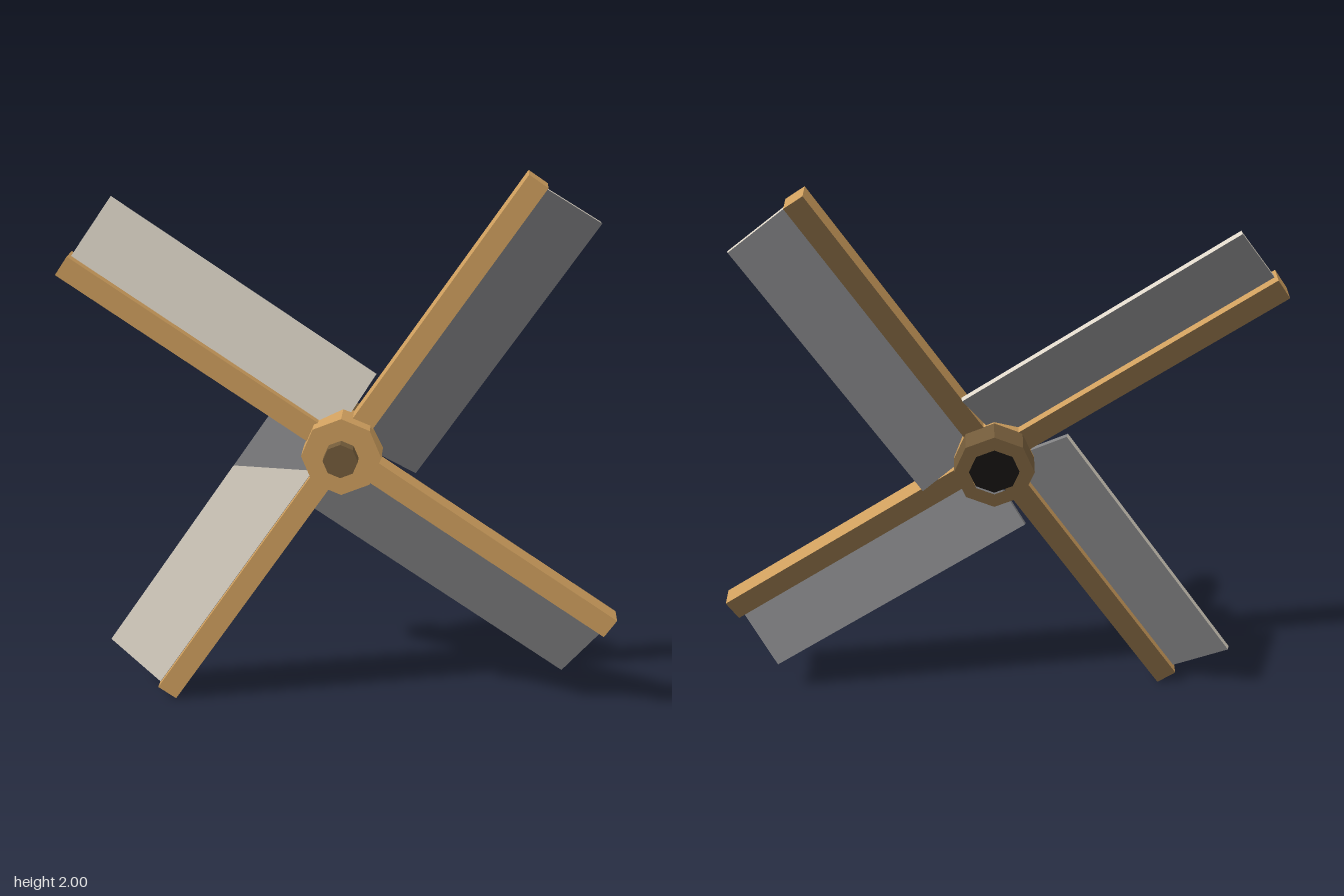
import * as THREE from 'three';

export function createModel() {
  const mat = (name, color, side = THREE.FrontSide) => {
    const m = new THREE.MeshStandardMaterial({ color, side, flatShading: true });
    m.name = name;
    return m;
  };
  const wood = mat('lightWood', 0xcf9f5e);
  const darkWood = mat('darkWood', 0x735b3a);
  const cream = mat('creamCloth', 0xdcd4c6);
  const grey = mat('greyCloth', 0x808082);
  const black = mat('axleHole', 0x141210);

  const add = (parent, name, geo, material, x = 0, y = 0, z = 0) => {
    const m = new THREE.Mesh(geo, material);
    m.name = name;
    m.position.set(x, y, z);
    parent.add(m);
    return m;
  };

  const model = new THREE.Group();
  model.name = 'windmillRotor';
  const rotor = new THREE.Group();
  rotor.name = 'rotor';
  rotor.position.y = 1;
  rotor.rotation.y = THREE.MathUtils.degToRad(-22);
  model.add(rotor);

  // Four blades, clockwise from the upper right; each has a spar and a pitched sail
  const sparLength = 1.18, sailLength = 1.12, sailWidth = 0.25, sailThick = 0.018;
  const names = ['upperLeftBlade', 'lowerLeftBlade', 'lowerRightBlade', 'upperRightBlade'];
  names.forEach((name, i) => {
    const blade = new THREE.Group();
    blade.name = name;
    blade.rotation.z = -THREE.MathUtils.degToRad(34 + 90 * i);
    rotor.add(blade);

    // Square spar, dark at the back
    add(blade, 'spar', new THREE.BoxGeometry(0.08, sparLength, 0.086),
      [wood, wood, wood, wood, wood, darkWood], 0, sparLength / 2, 0);

    // Sail trails the spar and leans back
    const sail = new THREE.Group();
    sail.name = 'sail';
    sail.position.set(0.157, 0.05 + sailLength / 2, -0.035);
    sail.rotation.y = 0.32;
    blade.add(sail);
    const pale = i >= 2;
    add(sail, 'sailPanel', new THREE.BoxGeometry(sailWidth, sailLength, sailThick),
      [pale ? cream : grey, grey, cream, grey, grey, grey]);

    // Pale cloth on the front of two sails, cut slanted near the hub on one
    if (pale) {
      const h = sailLength / 2, w = sailWidth / 2;
      const cut = i === 2 ? [0.08, 0.26] : [0, 0];
      const cloth = new THREE.Shape([
        new THREE.Vector2(-w, -h + cut[0]), new THREE.Vector2(w, -h + cut[1]),
        new THREE.Vector2(w, h), new THREE.Vector2(-w, h),
      ]);
      add(sail, 'paleCloth', new THREE.ShapeGeometry(cloth), cream, 0, 0, sailThick / 2 + 0.002);
    }
  });

  // Octagonal hub front and its small cap
  const disc = (r, depth, sides) =>
    new THREE.CylinderGeometry(r, r, depth, sides).rotateX(Math.PI / 2);
  add(rotor, 'hubFront', disc(0.142, 0.14, 8), wood, 0, 0, 0.03);
  add(rotor, 'hubCap', disc(0.062, 0.05, 8), darkWood, 0, 0, 0.119);

  // Dark octagonal ring at the back with a recessed axle hole
  const octagon = (r) => Array.from({ length: 8 }, (_, k) =>
    new THREE.Vector2(Math.sin(k * Math.PI / 4) * r, Math.cos(k * Math.PI / 4) * r));
  const ring = new THREE.Shape(octagon(0.142));
  ring.holes.push(new THREE.Path(octagon(0.09)));
  add(rotor, 'hubBackRing',
    new THREE.ExtrudeGeometry(ring, { depth: 0.1, bevelEnabled: false }), darkWood, 0, 0, -0.14);
  add(rotor, 'axleHole', disc(0.092, 0.05, 8), black, 0, 0, -0.1);

  return model;
}
